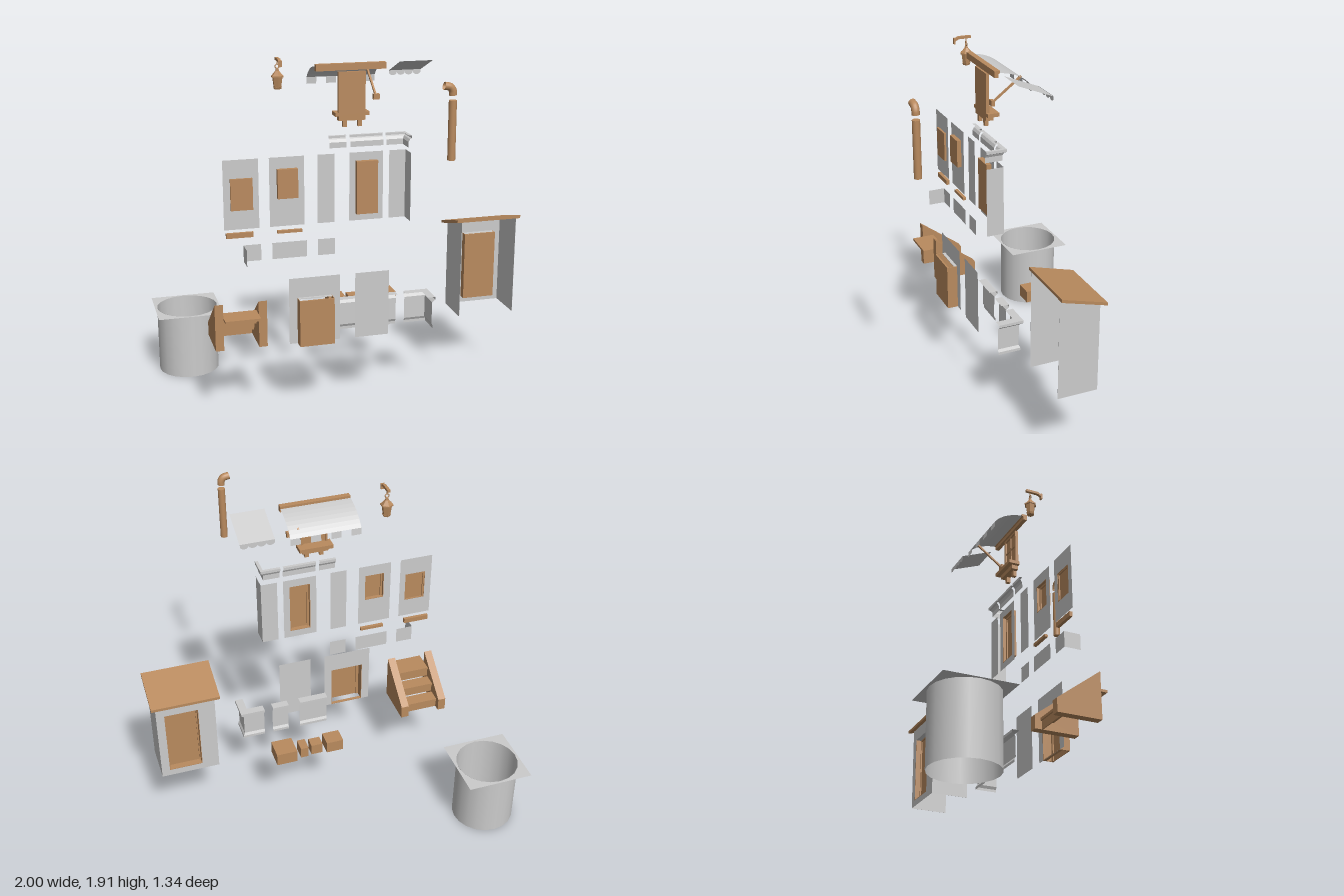
import * as THREE from 'three';

const grey = new THREE.MeshStandardMaterial({ color: 0xcccccc, side: THREE.DoubleSide });
const wood = new THREE.MeshStandardMaterial({ color: 0xb98a5e, side: THREE.DoubleSide });
const woodFlat = new THREE.MeshStandardMaterial({ color: 0xb98a5e, side: THREE.DoubleSide, flatShading: true });

export function createModel() {
  const root = new THREE.Group();

  const add = (name, geometry, material, x = 0, y = 0, z = 0) => {
    const mesh = new THREE.Mesh(geometry, material);
    mesh.name = name;
    mesh.position.set(x, y, z);
    root.add(mesh);
    return mesh;
  };

  // Box given by its limits on each axis
  const box = (name, x0, x1, y0, y1, z0, z1, material = wood) =>
    add(name, new THREE.BoxGeometry(x1 - x0, y1 - y0, z1 - z0), material,
      (x0 + x1) / 2, (y0 + y1) / 2, (z0 + z1) / 2);

  const rect = (x0, x1, y0, y1, Type = THREE.Shape) => {
    const s = new Type();
    s.moveTo(x0, y0).lineTo(x1, y0).lineTo(x1, y1).lineTo(x0, y1).closePath();
    return s;
  };

  // Flat wall sheet facing the street (-z), with an optional opening [x0, x1, y0, y1]
  const wall = (name, x0, x1, y0, y1, z, hole) => {
    const s = rect(x0, x1, y0, y1);
    if (hole) s.holes.push(rect(...hole, THREE.Path));
    add(name, new THREE.ShapeGeometry(s), grey, 0, 0, z);
  };

  // Recessed leaf with jambs filling an opening
  const recess = (name, [x0, x1, y0, y1], z, depth, rail, lintelDepth = depth, lintelMat = wood) => {
    const t = 0.003;
    box(name + 'Panel', x0, x1, y0, y1, z + depth - t, z + depth);
    box(name + 'Jamb', x0, x0 + t, y0, y1, z, z + depth);
    box(name + 'Jamb', x1 - t, x1, y0, y1, z, z + depth);
    box(name + 'Head', x0, x1, y1 - t, y1, z, z + lintelDepth, lintelMat);
    box(name + 'Foot', x0, x1, y0, y0 + t, z, z + lintelDepth);
    const f = z + depth - 0.01, b = z + depth;
    for (const [a, c] of [[x0, x0 + rail], [x1 - rail, x1]]) box(name + 'Stile', a, c, y0, y1, f, b);
    box(name + 'Rail', x0, x1, y1 - rail, y1, f, b);
  };

  // Sweep a profile of [outward, y] along a plan path of [x, z, outX, outZ]
  const sweep = (name, path, profile, material = grey) => {
    const pos = [];
    const at = (p, q) => [p[0] + p[2] * q[0], q[1], p[1] + p[3] * q[0]];
    for (let i = 0; i < path.length - 1; i++) for (let j = 0; j < profile.length - 1; j++) {
      const a = at(path[i], profile[j]), b = at(path[i + 1], profile[j]);
      const c = at(path[i + 1], profile[j + 1]), d = at(path[i], profile[j + 1]);
      pos.push(...a, ...d, ...c, ...a, ...c, ...b);
    }
    const g = new THREE.BufferGeometry();
    g.setAttribute('position', new THREE.Float32BufferAttribute(pos, 3));
    g.computeVertexNormals();
    add(name, g, material);
  };
  const straight = (x0, x1, z) => [[x0, z, 0, -1], [x1, z, 0, -1]];
  const rightCorner = (x0, x1, z, zEnd) => [[x0, z, 0, -1], [x1, z, 1, -1], [x1, zEnd, 1, 0]];

  // Extrude a side outline drawn in (z, y) across x0..x1
  const slab = (name, pts, x0, x1, material = wood) => {
    const s = new THREE.Shape(pts.map(([z, y]) => new THREE.Vector2(-z, y)));
    const g = new THREE.ExtrudeGeometry(s, { depth: x1 - x0, bevelEnabled: false });
    g.rotateY(Math.PI / 2);
    add(name, g, material, x0, 0, 0);
  };

  // Round shaft with a square rim plate
  const cx = -0.813, cz = -0.487;
  add('shaft', new THREE.CylinderGeometry(0.175, 0.175, 0.38, 20, 1, true), grey, cx, 0.19, cz);
  const rim = rect(-0.187, 0.187, -0.187, 0.187);
  rim.holes.push(new THREE.Path(Array.from({ length: 20 }, (_, i) => {
    const a = i / 20 * Math.PI * 2;
    return new THREE.Vector2(Math.sin(a) * 0.175, Math.cos(a) * 0.175);
  })));
  add('shaftRim', new THREE.ShapeGeometry(rim).rotateX(-Math.PI / 2), grey, cx, 0.379, cz);

  // Stairs
  for (const x of [-0.765, -0.53])
    slab('stairStringer', [[0.015, 0.39], [0.262, 0.39], [0.262, 0.65], [0.015, 0.465]], x, x + 0.045);
  [[0.045, 0.12, 0.45], [0.12, 0.195, 0.513], [0.195, 0.325, 0.577]].forEach(([z0, z1, y], i) => {
    box('stairTread', -0.72, -0.53, y - 0.014, y, z0, z1);
    box('stairRiser', -0.72, -0.53, 0.39 + i * 0.0615, y - 0.014, z0 + 0.008, z0 + 0.014);
  });

  // Ground floor walls
  const lowDoor = [-0.32, -0.13, 0.391, 0.65];
  wall('lowerDoorWall', -0.365, -0.085, 0.39, 0.76, 0.265, lowDoor);
  recess('lowerDoor', lowDoor, 0.265, 0.06, 0.018, 0.018, grey);
  wall('lowerPlainWall', 0, 0.19, 0.39, 0.76, 0.268);

  // Plinth pieces with a ledge and flared foot
  const plinth = [[0, 0.575], [0.045, 0.575], [0.045, 0.56], [0.027, 0.545], [0.025, 0.42], [0.033, 0.405], [0.033, 0.39]];
  sweep('plinthWide', straight(-0.055, 0.11, 0.165), plinth);
  sweep('plinthNarrow', straight(0.18, 0.275, 0.165), plinth);
  sweep('plinthCorner', rightCorner(0.325, 0.42, 0.165, 0.26), plinth);

  // Middle bands
  wall('bandStraight', -0.43, -0.24, 0.845, 0.935, 0.165);
  wall('bandShort', -0.18, -0.085, 0.845, 0.935, 0.165);
  sweep('bandCorner', [[-0.585, 0.26, 0, 0], [-0.585, 0.165, 0, 0], [-0.49, 0.165, 0, 0]], [[0, 0.845], [0, 0.935]]);

  // Window sills
  box('sillLarge', -0.675, -0.53, 0.978, 1.005, 0.15, 0.168);
  box('sillSmall', -0.4, -0.265, 0.985, 1.0, 0.15, 0.168);

  // Upper walls
  const winA = [-0.648, -0.53, 1.13, 1.3], winB = [-0.4, -0.29, 1.18, 1.338], upDoor = [0.03, 0.147, 1.065, 1.355];
  wall('upperWindowWall', -0.685, -0.497, 1.025, 1.4, 0.165, winA);
  recess('upperWindow', winA, 0.165, 0.012, 0.012);
  wall('upperWindowWall', -0.44, -0.252, 1.025, 1.4, 0.165, winB);
  recess('upperWindow', winB, 0.165, 0.025, 0.014);
  wall('upperPlainWall', -0.18, -0.087, 1.025, 1.4, 0.165);
  wall('upperDoorWall', -0.005, 0.183, 1.025, 1.4, 0.165, upDoor);
  recess('upperDoor', upDoor, 0.165, 0.028, 0.014);
  sweep('upperCornerWall', rightCorner(0.217, 0.308, 0.165, 0.26), [[0, 1.025], [0, 1.4]]);

  // Cornices
  const cornice = [[0, 1.43], [0, 1.46], [0.008, 1.475], [0.017, 1.48], [0.017, 1.495], [0, 1.495]];
  sweep('corniceShort', straight(-0.113, -0.02, 0.165), cornice);
  sweep('corniceLong', straight(0, 0.183, 0.165), cornice);
  sweep('corniceCorner', rightCorner(0.2, 0.293, 0.165, 0.26), cornice);

  // Storage shed, open at the back
  const shedDoor = [0.742, 0.928, 0.44, 0.83];
  wall('shedFront', 0.648, 0.973, 0.403, 0.9, -0.058, shedDoor);
  recess('shedDoor', shedDoor, -0.058, 0.04, 0.01, 0.04, grey);
  const shedSide = [[-0.058, 0.403], [0.163, 0.403], [0.163, 0.963], [-0.058, 0.9]];
  for (const x of [0.648, 0.972]) slab('shedSide', shedSide, x, x + 0.001, grey);
  slab('shedRoof', [[0.163, 0.96], [0.163, 0.977], [-0.085, 0.908], [-0.085, 0.892]], 0.622, 0.998);

  // Crates
  for (const [x0, x1, z0, z1, h] of [[-0.05, 0.047, -0.18, -0.09, 0.495], [0.07, 0.135, -0.168, -0.105, 0.49],
    [0.155, 0.2, -0.175, -0.098, 0.49], [0.227, 0.345, -0.195, -0.075, 0.5]])
    box('crate', x0, x1, 0.427, h, z0, z1);

  // Curved awning with square tabs
  const arc = new THREE.QuadraticBezierCurve(new THREE.Vector2(0, 1.862), new THREE.Vector2(0.125, 1.852), new THREE.Vector2(0.187, 1.778));
  sweep('awning', straight(-0.185, 0.195, 0.15), arc.getPoints(8).map(p => [p.x, p.y]));
  for (let i = 0; i < 4; i++) {
    const x = -0.185 + i * 0.1086;
    sweep('awningTab', straight(x, x + 0.054, 0.15), [[0.187, 1.778], [0.19, 1.742]]);
  }
  box('awningBeam', -0.185, 0.195, 1.838, 1.858, 0.142, 0.165);
  box('awningBeamCap', -0.185, 0.195, 1.858, 1.873, 0.135, 0.165);

  // Flat awning with scalloped edge
  sweep('flatAwning', straight(0.275, 0.458, 0.15), [[0, 1.87], [0.188, 1.795]]);
  const scallop = new THREE.Shape();
  scallop.moveTo(0.275, 1.797);
  for (let i = 0; i < 4; i++) {
    const r = 0.1825 / 8, c = 0.275 + r + i * 2 * r;
    for (let k = 0; k <= 8; k++) {
      const a = Math.PI * (1 + k / 8);
      scallop.lineTo(c + Math.cos(a) * r, 1.785 + Math.sin(a) * r * 0.75);
    }
  }
  scallop.lineTo(0.4575, 1.797);
  add('scallopEdge', new THREE.ShapeGeometry(scallop), grey, 0, 0, -0.038);

  // Awning strut with foot block
  const strut = add('awningStrut', new THREE.BoxGeometry(0.01, 0.01, 0.205), wood, 0.143, 1.752, 0.078);
  strut.rotation.x = Math.atan2(0.12, 0.16);
  box('strutFoot', 0.127, 0.16, 1.677, 1.707, 0.148, 0.167);

  // Window panel with sill and corbels
  box('bayPanel', -0.065, 0.083, 1.61, 1.83, 0.158, 0.166);
  for (const x of [-0.065, 0.071]) box('bayStile', x, x + 0.012, 1.61, 1.83, 0.148, 0.166);
  box('bayRail', -0.065, 0.083, 1.818, 1.83, 0.148, 0.166);
  box('bayMullion', 0.005, 0.013, 1.61, 1.83, 0.152, 0.166);
  box('bayTransom', -0.065, 0.083, 1.735, 1.743, 0.152, 0.166);
  box('baySill', -0.082, 0.105, 1.597, 1.617, 0.1, 0.166);
  box('baySillLower', -0.062, 0.083, 1.573, 1.597, 0.125, 0.166);
  for (const x of [-0.04, 0.042]) box('bayCorbel', x, x + 0.022, 1.54, 1.573, 0.145, 0.166);

  // Hanging lantern
  const lx = -0.372, lz = 0.093;
  const lampPart = (name, rt, rb, y0, y1) =>
    add(name, new THREE.CylinderGeometry(rt, rb, y1 - y0, 6), woodFlat, lx, (y0 + y1) / 2, lz);
  lampPart('lanternBase', 0.024, 0.02, 1.745, 1.757);
  lampPart('lanternBody', 0.028, 0.021, 1.757, 1.807);
  lampPart('lanternEave', 0.035, 0.035, 1.807, 1.814);
  lampPart('lanternRoof', 0.01, 0.032, 1.814, 1.84);
  lampPart('lanternCap', 0.007, 0.01, 1.84, 1.853);
  add('lanternRing', new THREE.TorusGeometry(0.011, 0.003, 6, 12), wood, lx, 1.863, lz);
  lampPart('lanternHook', 0.003, 0.003, 1.872, 1.89);
  box('lanternPlate', lx - 0.01, lx + 0.01, 1.868, 1.9, 0.158, 0.166);
  const arm = [[0.166, 1.878], [0.14, 1.893], [0.068, 1.893], [0.068, 1.907], [0.138, 1.907], [0.166, 1.893]];
  slab('lanternArm', arm, lx - 0.008, lx + 0.008);

  // Stove pipe and elbow
  add('pipe', new THREE.CylinderGeometry(0.02, 0.02, 0.3, 16), wood, 0.382, 1.597, 0.65);
  const bend = new THREE.CatmullRomCurve3([[0.382, 1.772], [0.38, 1.795], [0.367, 1.813], [0.335, 1.82]]
    .map(([x, y]) => new THREE.Vector3(x, y, 0.65)));
  add('pipeElbow', new THREE.TubeGeometry(bend, 10, 0.02, 16), wood);

  return root;
}
